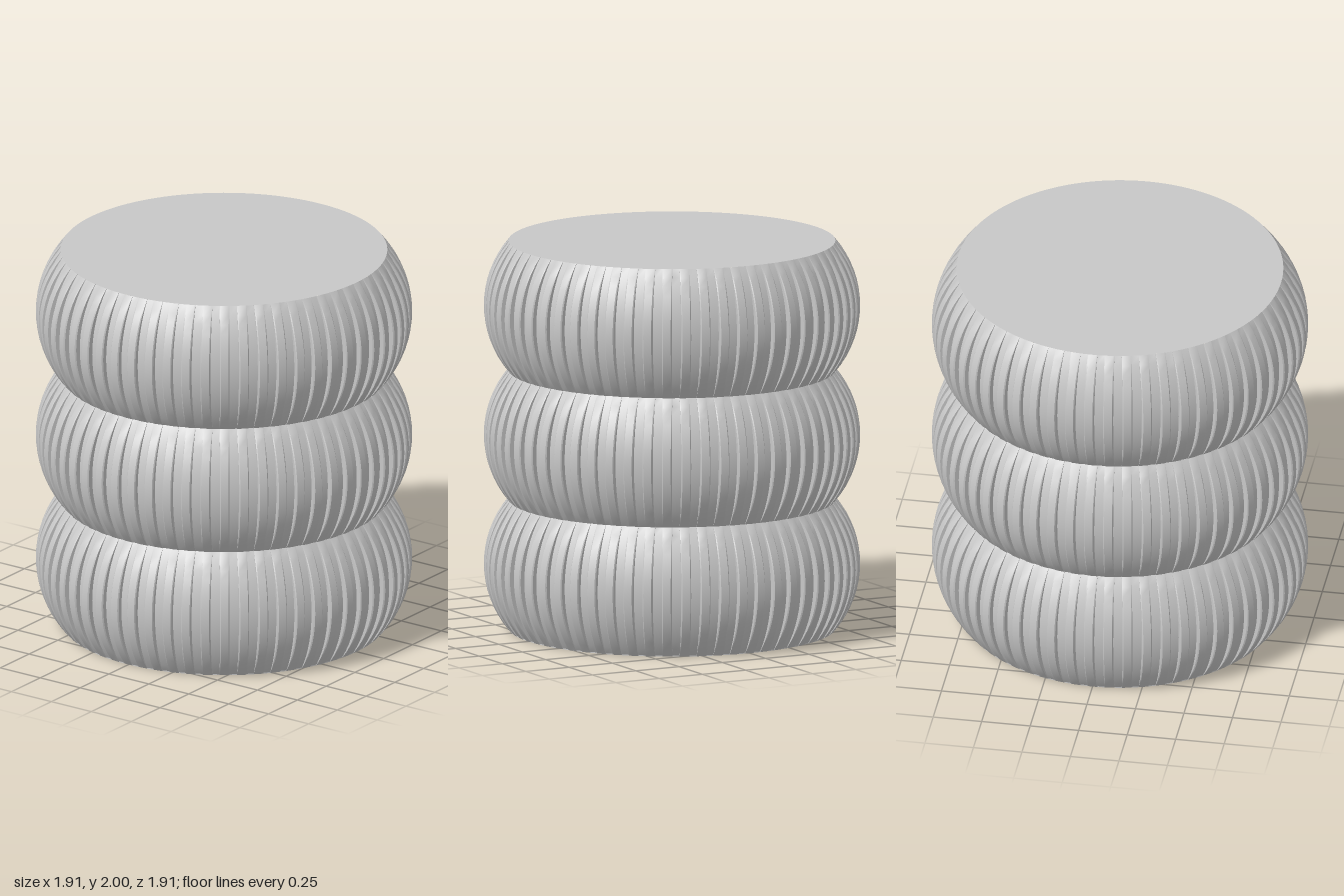
import * as THREE from 'three';
import { toCreasedNormals } from 'three/addons/utils/BufferGeometryUtils.js';

const RIBS = 60, LOBES = 3, ROWS = 16;
const LOBE_HEIGHT = 2 / LOBES;
const END_RADIUS = 0.83, RIB_BULGE = 0.126, CORE_BULGE = 0.1;
const RECESS_DEPTH = 0.045;

// Height of a circular arc of given bulge at t in [-1, 1] across one lobe
function arcBulge(bulge, t) {
  const half = LOBE_HEIGHT / 2;
  const radius = (half * half + bulge * bulge) / (2 * bulge);
  return Math.sqrt(radius * radius - t * t * half * half) - (radius - bulge);
}

// Cross-section of one rib: [sideways offset, fraction of rib depth]
const RIB_SECTION = [
  [-0.025, 0], [-0.025, 0.78], [-0.02, 1],
  [0.02, 1], [0.025, 0.78], [0.025, 0],
];

// One ribbed, barrel-shaped lobe, open at both ends
function lobeGeometry() {
  const positions = [], indices = [];
  const around = RIBS * RIB_SECTION.length;
  for (let row = 0; row <= ROWS; row++) {
    const t = (row / ROWS) * 2 - 1;
    const core = END_RADIUS - 0.003 + arcBulge(CORE_BULGE, t);
    const rib = END_RADIUS + arcBulge(RIB_BULGE, t);
    for (let i = 0; i < RIBS; i++) {
      for (const [side, depth] of RIB_SECTION) {
        const r = core + (rib - core) * depth;
        const a = (i / RIBS) * Math.PI * 2 + side / r;
        positions.push(r * Math.cos(a), (row / ROWS) * LOBE_HEIGHT, r * Math.sin(a));
      }
    }
  }
  for (let row = 0; row < ROWS; row++) {
    for (let i = 0; i < around; i++) {
      const a = row * around + i, b = row * around + ((i + 1) % around);
      indices.push(a, a + around, b, b, a + around, b + around);
    }
  }
  const geometry = new THREE.BufferGeometry();
  geometry.setAttribute('position', new THREE.Float32BufferAttribute(positions, 3));
  geometry.setIndex(indices);
  return toCreasedNormals(geometry, 0.5);
}

// Bottom ring whose opening steps between two radii, four times around
function baseRingGeometry() {
  const shape = new THREE.Shape();
  shape.absarc(0, 0, END_RADIUS, 0, Math.PI * 2, false);
  const hole = new THREE.Path();
  const rad = THREE.MathUtils.degToRad;
  for (let k = 0; k < 4; k++) {
    const centre = 65 + k * 90;
    hole.absarc(0, 0, 0.645, rad(centre - 28), rad(centre + 28), false);
    hole.absarc(0, 0, 0.595, rad(centre + 28), rad(centre + 62), false);
  }
  hole.closePath();
  shape.holes.push(hole);
  const geometry = new THREE.ExtrudeGeometry(shape, {
    depth: RECESS_DEPTH, bevelEnabled: false, curveSegments: 60,
  });
  geometry.rotateX(Math.PI / 2);
  geometry.translate(0, RECESS_DEPTH, 0);
  return toCreasedNormals(geometry, 0.5);
}

export function createModel() {
  const model = new THREE.Group();
  model.name = 'ribbedContainer';
  const grey = new THREE.MeshStandardMaterial({ color: 0xc8c8c8 });
  grey.name = 'lightGrey';

  function add(name, geometry, y = 0) {
    const mesh = new THREE.Mesh(geometry, grey);
    mesh.name = name;
    mesh.position.y = y;
    model.add(mesh);
  }

  // Three stacked lobes
  const lobe = lobeGeometry();
  ['lowerLobe', 'middleLobe', 'upperLobe'].forEach((name, i) => add(name, lobe, i * LOBE_HEIGHT));

  // Flat top
  add('topFace', new THREE.CircleGeometry(END_RADIUS, 120).rotateX(-Math.PI / 2), 2);

  // Underside with a shallow notched recess
  add('baseRing', baseRingGeometry());
  add('recessFloor', new THREE.CircleGeometry(0.7, 96).rotateX(Math.PI / 2), RECESS_DEPTH - 0.001);

  return model;
}
